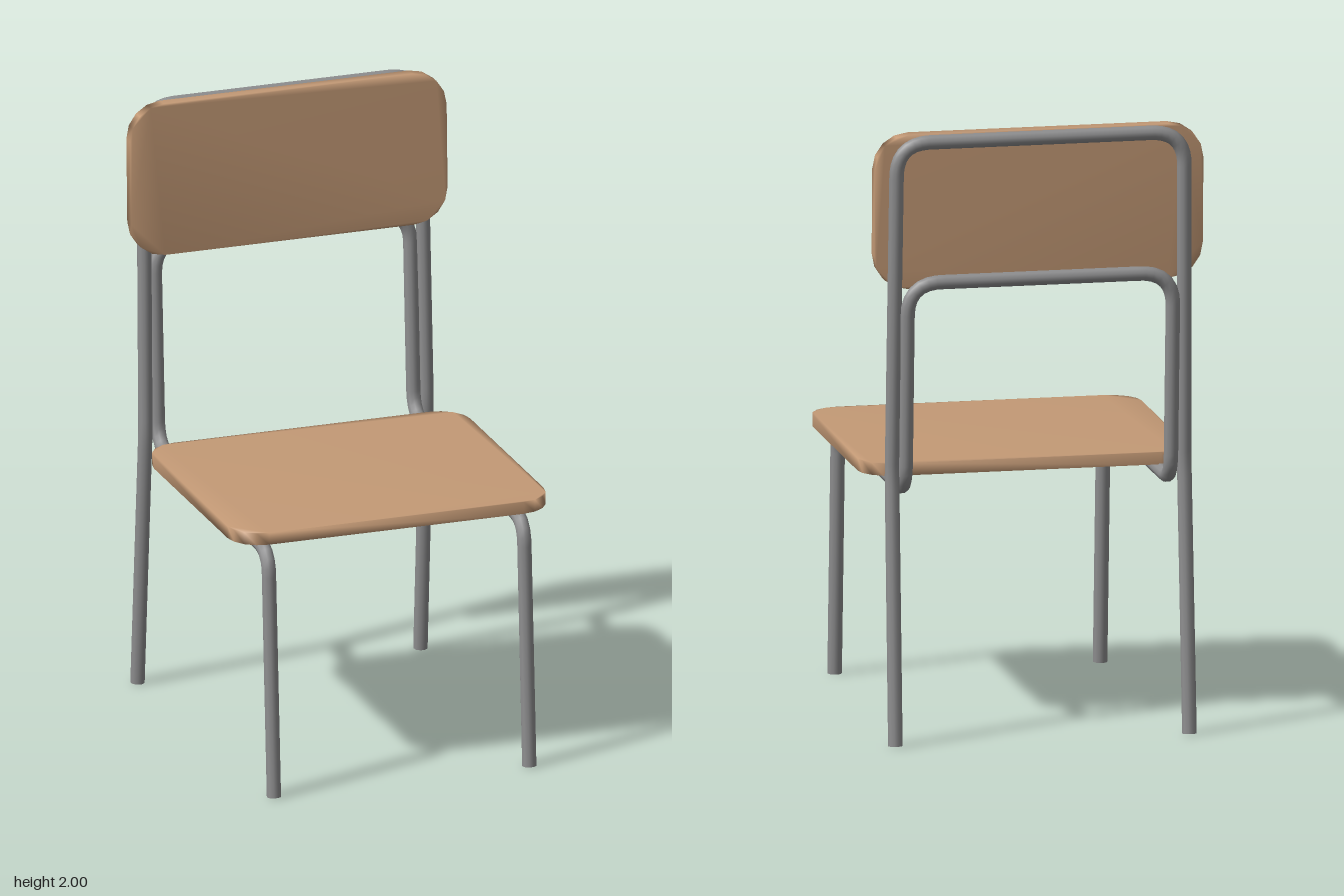
import * as THREE from 'three';
import { mergeVertices } from 'three/addons/utils/BufferGeometryUtils.js';

const wood = new THREE.MeshStandardMaterial({ color: 0xc49a76 });
wood.name = 'wood';
const metal = new THREE.MeshStandardMaterial({ color: 0x8e8e8f });
metal.name = 'grey metal';

const RADIUS = 0.024;

// Straight runs joined by rounded bends; each point is [x, y, z, bendRadius]
function bentPath(points) {
  const path = new THREE.CurvePath();
  const v = points.map(([x, y, z]) => new THREE.Vector3(x, y, z));
  let from = v[0];
  for (let i = 1; i < v.length - 1; i++) {
    const r = points[i][3];
    const a = v[i].clone().add(v[i - 1].clone().sub(v[i]).setLength(r));
    const b = v[i].clone().add(v[i + 1].clone().sub(v[i]).setLength(r));
    path.add(new THREE.LineCurve3(from, a));
    path.add(new THREE.QuadraticBezierCurve3(a, v[i], b));
    from = b;
  }
  path.add(new THREE.LineCurve3(from, v[v.length - 1]));
  return path;
}

// Half a frame (foot to top corner) is mirrored into one continuous tube
function tubeFrame(name, half) {
  const other = half.map(([x, y, z, r]) => [-x, y, z, r]).reverse();
  const path = bentPath([...half, ...other]);
  const group = new THREE.Group();
  group.name = name;
  const tube = new THREE.Mesh(new THREE.TubeGeometry(path, 220, RADIUS, 10, false), metal);
  tube.name = name + 'Tube';
  group.add(tube);
  // closed foot ends
  for (const [t, sign] of [[0, -1], [1, 1]]) {
    const cap = new THREE.Mesh(new THREE.CircleGeometry(RADIUS, 10), metal);
    cap.name = 'footEnd';
    const p = path.getPointAt(t);
    cap.position.copy(p);
    cap.lookAt(p.clone().addScaledVector(path.getTangentAt(t), sign));
    group.add(cap);
  }
  return group;
}

// Rounded rectangular board centred on the origin, with soft shared normals
function board(name, width, height, depth, r) {
  const w = width / 2 - r, h = height / 2 - r;
  const shape = new THREE.Shape();
  [[w, h], [-w, h], [-w, -h], [w, -h]].forEach(([x, y], i) =>
    shape.absarc(x, y, r, i * Math.PI / 2, (i + 1) * Math.PI / 2, false));
  shape.closePath();
  let geo = new THREE.ExtrudeGeometry(shape, { depth, bevelEnabled: false, curveSegments: 2 });
  geo.translate(0, 0, -depth / 2);
  geo.deleteAttribute('normal');
  geo.deleteAttribute('uv');
  geo.clearGroups();
  geo = mergeVertices(geo, 1e-4);
  geo.computeVertexNormals();
  const mesh = new THREE.Mesh(geo, wood);
  mesh.name = name;
  return mesh;
}

export function createModel() {
  const chair = new THREE.Group();
  chair.name = 'chair';

  // Outer frame: rear legs, back uprights and top rail
  chair.add(tubeFrame('rearFrame', [
    [0.483, 0.004, -0.58],
    [0.48, 0.88, -0.513, 0.04],
    [0.472, 1.976, -0.554, 0.11],
  ]));

  // Inner frame: front legs, seat rails, inner uprights and lower back rail
  chair.add(tubeFrame('frontFrame', [
    [0.436, 0.002, 0.588],
    [0.436, 0.822, 0.536, 0.08],
    [0.436, 0.826, -0.512, 0.09],
    [0.436, 1.515, -0.552, 0.11],
  ]));

  const seat = board('seat', 1.08, 0.91, 0.04, 0.105);
  seat.rotation.x = -Math.PI / 2;
  seat.position.set(0, 0.866, 0.086);
  chair.add(seat);

  const backrest = board('backrest', 1.08, 0.51, 0.038, 0.115);
  backrest.rotation.x = -0.032;
  backrest.position.set(0, 1.744, -0.504);
  chair.add(backrest);

  return chair;
}
